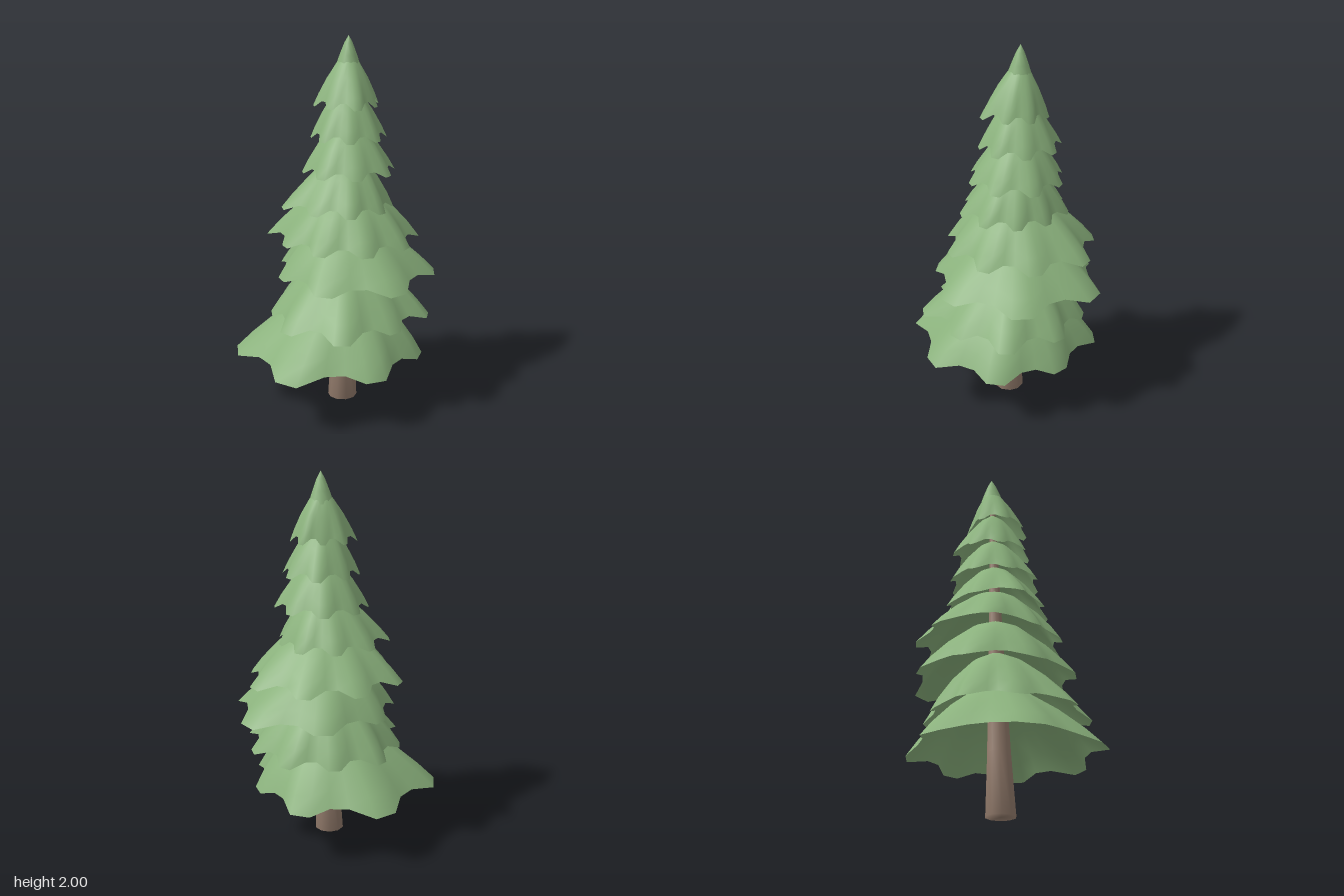
import * as THREE from 'three';

// The trunk leans slightly: axis position at a given height
const axisX = (y) => 0.05 + 0.02 * y;
const axisZ = (y) => -0.01 - 0.0215 * y;

// Each tier: rim height, crown height, angle of the first lobe (degrees from +x towards +z), lobe radii
const TIERS = [
  [0.295, 0.70, 33, [0.44, 0.49, 0.575, 0.59, 0.545, 0.475, 0.41]],
  [0.51, 0.885, 26, [0.465, 0.43, 0.49, 0.46, 0.40, 0.40, 0.37, 0.40, 0.42]],
  [0.735, 1.07, 17, [0.49, 0.47, 0.42, 0.37, 0.38, 0.43, 0.51]],
  [0.925, 1.25, 7, [0.40, 0.38, 0.37, 0.36, 0.36, 0.43, 0.43, 0.43, 0.45]],
  [1.11, 1.41, 20, [0.25, 0.27, 0.29, 0.29, 0.345, 0.31, 0.29, 0.28, 0.25]],
  [1.295, 1.58, 2, [0.26, 0.26, 0.25, 0.25, 0.235, 0.24, 0.25, 0.25]],
  [1.475, 1.75, 10, [0.21, 0.21, 0.20, 0.20, 0.19, 0.20, 0.23, 0.22]],
  [1.645, 1.91, 0, [0.165, 0.17, 0.20, 0.18, 0.18, 0.16, 0.13, 0.16]],
];

// Drooping section of a tier: [radius share, height share]
const PROFILE = [[1, 0], [0.87, 0.22], [0.65, 0.52], [0.38, 0.8], [0.06, 1]];

// Blunt lobes: two tip points, then two notch points a little further in and higher
function rimPoints(y0, phase, lobes) {
  const points = [];
  const step = (Math.PI * 2) / lobes.length;
  lobes.forEach((tip, k) => {
    const next = lobes[(k + 1) % lobes.length];
    const a = (phase * Math.PI) / 180 + k * step;
    const notch = (t) => 0.86 * (tip + (next - tip) * t);
    points.push(
      { a: a - step / 8, r: tip, lift: 0 },
      { a: a + step / 8, r: tip, lift: 0 },
      { a: a + (step * 3) / 8, r: notch(0.35), lift: 0.03 },
      { a: a + (step * 5) / 8, r: notch(0.65), lift: 0.03 },
    );
  });
  return points;
}

// Open skirt whose lobes fade out towards the crown
function tierGeometry(y0, y1, phase, lobes) {
  const rim = rimPoints(y0, phase, lobes);
  const n = rim.length;
  const mean = rim.reduce((sum, p) => sum + p.r, 0) / n;
  const positions = [];
  const indices = [];
  PROFILE.forEach(([share, h], row) => {
    rim.forEach(({ a, r, lift }, i) => {
      const radius = share * (mean + (r - mean) * share);
      const y = y0 + (y1 - y0) * h + lift * (1 - h);
      positions.push(axisX(y) + radius * Math.cos(a), y, axisZ(y) + radius * Math.sin(a));
      if (row < PROFILE.length - 1) {
        const p = row * n + i;
        const q = row * n + ((i + 1) % n);
        indices.push(p, p + n, q, q, p + n, q + n);
      }
    });
  });
  const g = new THREE.BufferGeometry();
  g.setAttribute('position', new THREE.Float32BufferAttribute(positions, 3));
  g.setIndex(indices);
  g.computeVertexNormals();
  return g;
}

// Turned shape that follows the leaning axis
function leaningLathe(profile) {
  const g = new THREE.LatheGeometry(profile.map(([r, y]) => new THREE.Vector2(r, y)), 10);
  const p = g.attributes.position;
  for (let i = 0; i < p.count; i++) {
    const y = p.getY(i);
    p.setX(i, p.getX(i) + axisX(y));
    p.setZ(i, p.getZ(i) + axisZ(y));
  }
  return g;
}

export function createModel() {
  const foliage = new THREE.MeshStandardMaterial({ color: 0x8bb27d, side: THREE.DoubleSide });
  foliage.name = 'foliage green';
  const bark = new THREE.MeshStandardMaterial({ color: 0x977f6f, side: THREE.DoubleSide });
  bark.name = 'bark brown';

  const tree = new THREE.Group();
  tree.name = 'tree';
  const add = (name, geometry, material) => {
    const mesh = new THREE.Mesh(geometry, material);
    mesh.name = name;
    tree.add(mesh);
  };

  // Tapering trunk, slightly flared at the foot
  add('trunk', leaningLathe([[0, 0], [0.08, 0], [0.063, 0.33], [0.042, 0.9], [0.015, 1.8]]), bark);

  // Branch tiers
  TIERS.forEach((tier, i) => add(`branchTier${i + 1}`, tierGeometry(...tier), foliage));

  // Pointed top
  add('treeTip', leaningLathe([[0.066, 1.84], [0.045, 1.9], [0.022, 1.96], [0, 2]]), foliage);

  return tree;
}
